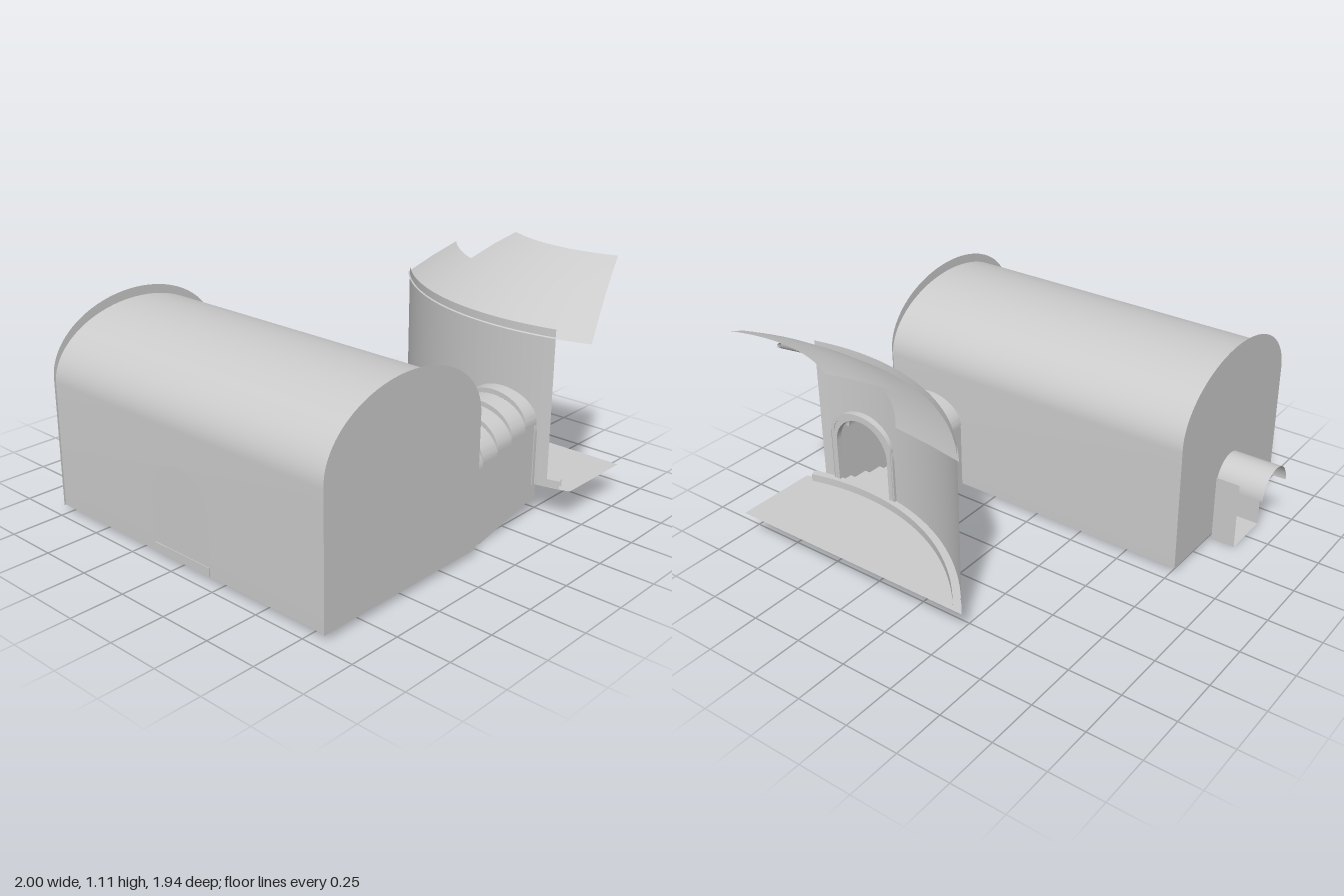
import * as THREE from 'three';
import { toCreasedNormals } from 'three/addons/utils/BufferGeometryUtils.js';

const material = new THREE.MeshStandardMaterial({ color: 0xcccccc, side: THREE.DoubleSide });
const CX = 0.6, CZ = -1.56; // axis of the curved wall, its roof and its floor
const polar = (r, a, y) => new THREE.Vector3(CX + r * Math.sin(a), y, CZ + r * Math.cos(a));

// Arched outline: straight jambs up to the spring line, then a half ellipse
function archPath(PathType, centre, half, base, spring, crown) {
  const p = new PathType();
  p.moveTo(centre + half, base);
  p.lineTo(centre + half, spring);
  p.absellipse(centre, spring, half, crown - spring, 0, Math.PI, false, 0);
  p.lineTo(centre - half, base);
  p.closePath();
  return p;
}

const extrude = (shape, depth) =>
  toCreasedNormals(new THREE.ExtrudeGeometry(shape, { depth, bevelEnabled: false, curveSegments: 24 }), 0.6);

// Turns a (z, y) drawing so that its plane faces along x
const faceX = (geometry, x) => geometry.rotateY(-Math.PI / 2).translate(x, 0, 0);

// Sheet swept round the axis; section(angle) returns [radius, height] pairs
function sweep(a0, a1, steps, section) {
  const pos = [], index = [];
  let rows = 0;
  for (let i = 0; i <= steps; i++) {
    const a = a0 + (a1 - a0) * i / steps;
    const pts = section(a);
    rows = pts.length;
    for (const [r, y] of pts) pos.push(...polar(r, a, y).toArray());
  }
  for (let i = 0; i < steps; i++) for (let j = 0; j < rows - 1; j++) {
    const a = i * rows + j, b = a + rows;
    index.push(a, b, a + 1, b, b + 1, a + 1);
  }
  const g = new THREE.BufferGeometry();
  g.setAttribute('position', new THREE.Float32BufferAttribute(pos, 3));
  g.setIndex(index);
  g.computeVertexNormals();
  return g;
}

function rod(a, b, radius) {
  return new THREE.TubeGeometry(new THREE.LineCurve3(a, b), 1, radius, 6);
}

export function createModel() {
  const model = new THREE.Group();
  const add = (name, geometry, parent = model) => {
    const mesh = new THREE.Mesh(geometry, material);
    mesh.name = name;
    parent.add(mesh);
    return mesh;
  };
  const group = (name) => {
    const g = new THREE.Group();
    g.name = name;
    model.add(g);
    return g;
  };

  // Barrel-vaulted hall with taller flat end walls
  const hall = group('hall');
  add('hallVault', faceX(extrude(archPath(THREE.Shape, 0.505, 0.455, 0.032, 0.615, 0.905), 1.598), 0.829), hall);
  for (const x of [-0.77, 0.832]) {
    add('endWall', faceX(new THREE.ShapeGeometry(archPath(THREE.Shape, 0.508, 0.46, 0.032, 0.64, 0.948), 24), x), hall);
  }
  add('frontDoor', new THREE.ShapeGeometry(archPath(THREE.Shape, 0.028, 0.173, 0.075, 0.288, 0.461), 24)
    .translate(0, 0, 0.963), hall);
  add('doorSill', new THREE.BoxGeometry(0.335, 0.04, 0.02).translate(0.03, 0.055, 0.956), hall);

  // Side porch
  const porch = group('sidePorch');
  add('porchVault', new THREE.CylinderGeometry(0.115, 0.115, 0.23, 24, 1, true, 0, Math.PI)
    .rotateZ(Math.PI / 2).translate(-0.885, 0.288, 0.505), porch);
  for (const z of [0.388, 0.622]) {
    add('porchWall', new THREE.PlaneGeometry(0.115, 0.33).translate(-0.8275, 0.165, z), porch);
  }
  add('porchFloor', new THREE.PlaneGeometry(0.115, 0.234).rotateX(-Math.PI / 2).translate(-0.8275, 0.001, 0.505), porch);

  // Stepped passage: side walls, vault rings, treads and risers
  const passage = group('steppedPassage');
  const side = new THREE.Shape();
  side.moveTo(0.05, 0);
  side.lineTo(-0.06, 0);
  side.lineTo(-0.45, 0.085);
  for (let i = 4; i >= 0; i--) {
    const z = 0.05 - 0.1 * i, y = 0.355 + 0.0225 * i;
    side.lineTo(z - 0.1, y);
    side.lineTo(z, y);
  }
  for (const x of [0.422, 0.78]) add('passageWall', faceX(new THREE.ShapeGeometry(side), x), passage);
  for (let i = 0; i < 5; i++) {
    const z = 0.05 - 0.1 * i, spring = 0.355 + 0.0225 * i, tread = 0.05 + 0.025 * i;
    const ring = new THREE.Shape();
    ring.absellipse(CX, spring, 0.181, 0.13, 0, Math.PI, false, 0);
    ring.absellipse(CX, spring, 0.163, 0.108, Math.PI, 0, true, 0);
    add('vaultRing', extrude(ring, 0.1).translate(0, 0, z - 0.1), passage);
    add('tread', new THREE.BoxGeometry(0.355, 0.008, 0.1).translate(CX, tread - 0.004, z - 0.05), passage);
    add('riser', new THREE.BoxGeometry(0.355, 0.025, 0.008).translate(CX, tread - 0.0125, z - 0.004), passage);
  }

  // Curved wall, left open at the arched doorway
  const pavilion = group('curvedPavilion');
  const R = 1.142, half = 0.155, edge = Math.asin(half / R);
  const doorTop = (a) => {
    const dx = R * Math.sin(a);
    return 0.39 + Math.sqrt(Math.max(0, half * half - dx * dx));
  };
  add('curvedWall', sweep(-0.837, -edge, 24, () => [[R, 0.15], [R, 0.88]]), pavilion);
  add('wallOverDoor', sweep(-edge, edge, 24, (a) => [[R, doorTop(a)], [R, 0.88]]), pavilion);
  add('curvedWallEnd', sweep(edge, 0.215, 4, () => [[R, 0.15], [R, 0.88]]), pavilion);
  const frame = archPath(THREE.Shape, CX, 0.185, 0.15, 0.39, 0.575);
  frame.holes.push(archPath(THREE.Path, CX, 0.152, 0.15, 0.39, 0.542));
  add('doorFrame', extrude(frame, 0.03).translate(0, 0, -0.447), pavilion);

  // Conical roof sheet: a deep part and a shallower left part
  const low = [[1.148, 0.84], [1.03, 0.925], [0.916, 0.998]];
  add('roof', sweep(-0.52, 0.352, 28, () => [...low, [0.8, 1.06], [0.69, 1.108]]), pavilion);
  add('shortRoof', sweep(-0.878, -0.52, 14, () => low), pavilion);
  add('rafter', rod(polar(1.13, 0, 0.835), polar(0.69, 0, 1.095), 0.011), pavilion);
  add('roofStrut', rod(polar(1.135, -0.79, 0.835), polar(1.015, -0.79, 0.918), 0.011), pavilion);

  // Thin floor segment and the raised rim along the wall foot
  const floor = new THREE.Shape();
  floor.moveTo(0.945, -0.87);
  for (let i = 0; i <= 32; i++) {
    const p = polar(1.14, 0.307 - 1.228 * i / 32, 0);
    floor.lineTo(p.x, p.z);
  }
  floor.closePath();
  add('floor', new THREE.ShapeGeometry(floor).rotateX(Math.PI / 2).translate(0, 0.15, 0), pavilion);
  add('floorRim', toCreasedNormals(sweep(-0.87, 0.265, 32,
    () => [[1.105, 0.151], [1.105, 0.188], [1.139, 0.188], [1.139, 0.151], [1.105, 0.151]]), 0.6), pavilion);

  return model;
}
